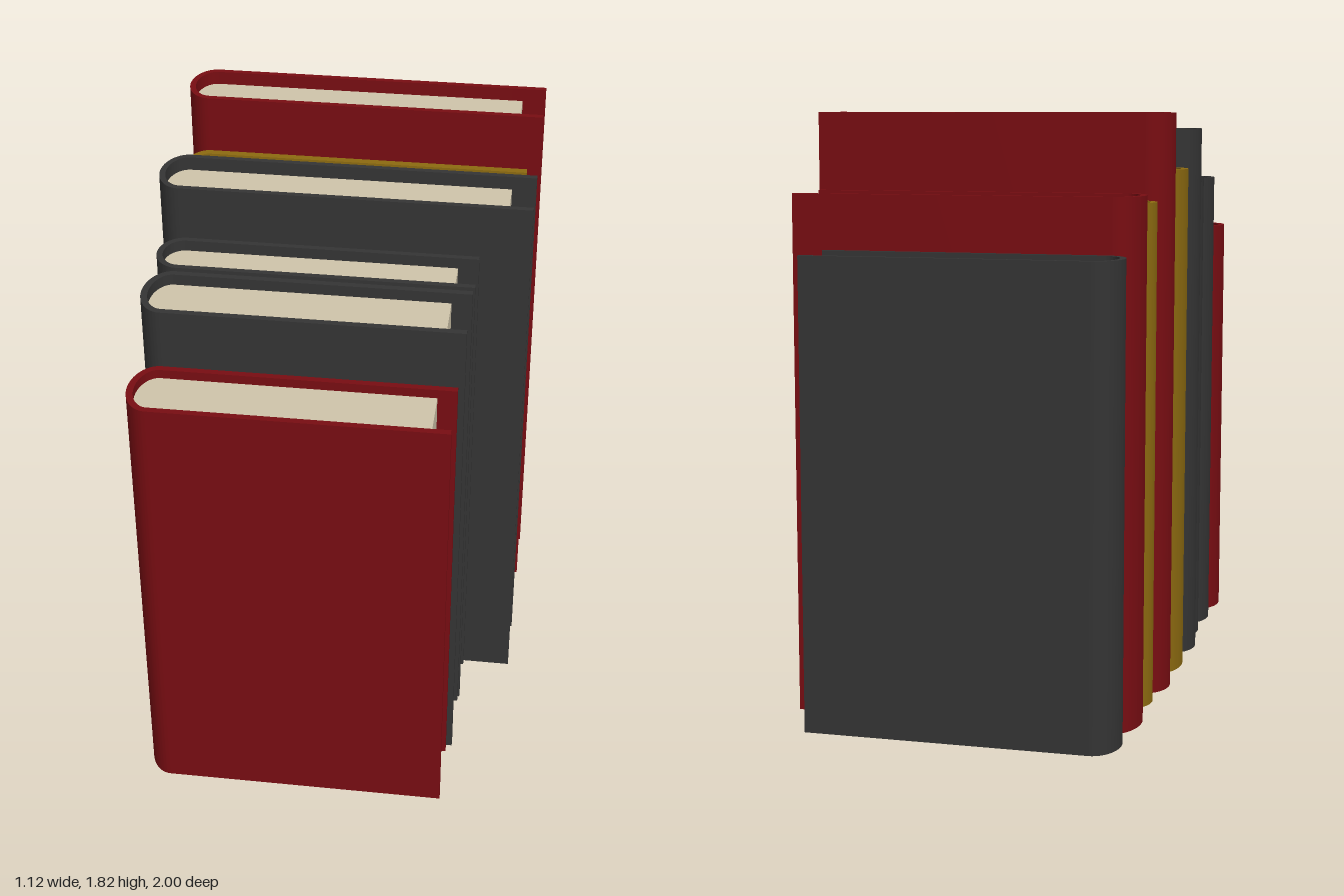
import * as THREE from 'three';
import { toCreasedNormals } from 'three/addons/utils/BufferGeometryUtils.js';

const RED = 0x780d12, DARK = 0x343434, GOLD = 0x8c6a10, PAPER = 0xcfc4aa;

// front to back: colour, z from, z to, spine x, cover edge x, page edge x, bottom, top, board thickness, page inset
const BOOKS = [
  [RED, 0.772, 1.0, -0.545, 0.387, 0.33, 0, 1.41, 0.02, 0.028],
  [DARK, 0.54, 0.768, -0.543, 0.405, 0.345, 0.005, 1.59, 0.02, 0.034],
  [DARK, 0.362, 0.538, -0.54, 0.41, 0.348, 0.005, 1.6, 0.018, 0.034],
  [DARK, 0.147, 0.36, -0.563, 0.56, 0.487, 0.005, 1.765, 0.018, 0.042],
  [GOLD, -0.122, 0.143, -0.56, 0.52, 0.45, 0.007, 1.64, 0.024, 0.038],
  [RED, -0.335, -0.126, -0.563, 0.56, 0.488, 0.005, 1.82, 0.018, 0.042],
  [GOLD, -0.524, -0.339, -0.545, 0.41, 0.35, 0.01, 1.555, 0.02, 0.022],
  [RED, -0.775, -0.527, -0.555, 0.485, 0.418, 0.01, 1.585, 0.021, 0.038],
  [DARK, -1.0, -0.778, -0.543, 0.385, 0.33, 0.015, 1.42, 0.018, 0.028],
];
const ROUND = 0.075; // depth of the rounded spine

// upright extrusion of a plan outline
function upright(shape, y0, y1) {
  const geo = new THREE.ExtrudeGeometry(shape, { depth: y1 - y0, bevelEnabled: false, curveSegments: 24 });
  geo.rotateX(-Math.PI / 2);
  geo.translate(0, y0, 0);
  return toCreasedNormals(geo, 0.6);
}

function createBook([color, z0, z1, spine, coverX, pageX, y0, y1, t, inset], i) {
  const book = new THREE.Group();
  book.name = `book${i + 1}`;
  const half = (z1 - z0) / 2, inner = half - t;
  const cx = spine + ROUND; // where the spine curve meets the flat boards

  // cover: two boards joined by a curved spine
  const cover = new THREE.Shape();
  cover.moveTo(coverX, half);
  cover.lineTo(cx, half);
  cover.absellipse(cx, 0, ROUND, half, Math.PI / 2, Math.PI * 1.5, false);
  cover.lineTo(coverX, -half);
  cover.lineTo(coverX, -inner);
  cover.lineTo(cx, -inner);
  cover.absellipse(cx, 0, ROUND - t, inner, Math.PI * 1.5, Math.PI / 2, true);
  cover.lineTo(coverX, inner);
  cover.closePath();

  // page block with a rounded back fitting the spine
  const pages = new THREE.Shape();
  pages.moveTo(pageX, inner);
  pages.lineTo(cx, inner);
  pages.absellipse(cx, 0, ROUND - t, inner, Math.PI / 2, Math.PI * 1.5, false);
  pages.lineTo(pageX, -inner);
  pages.closePath();

  const add = (name, geo, c) => {
    const mesh = new THREE.Mesh(geo, new THREE.MeshStandardMaterial({ color: c }));
    mesh.name = name;
    book.add(mesh);
  };
  add('cover', upright(cover, y0, y1), color);
  add('pages', upright(pages, y0 + inset * 0.8, y1 - inset), PAPER);
  book.position.z = (z0 + z1) / 2;
  return book;
}

export function createModel() {
  const group = new THREE.Group();
  group.name = 'bookRow';
  BOOKS.forEach((b, i) => group.add(createBook(b, i)));
  return group;
}
